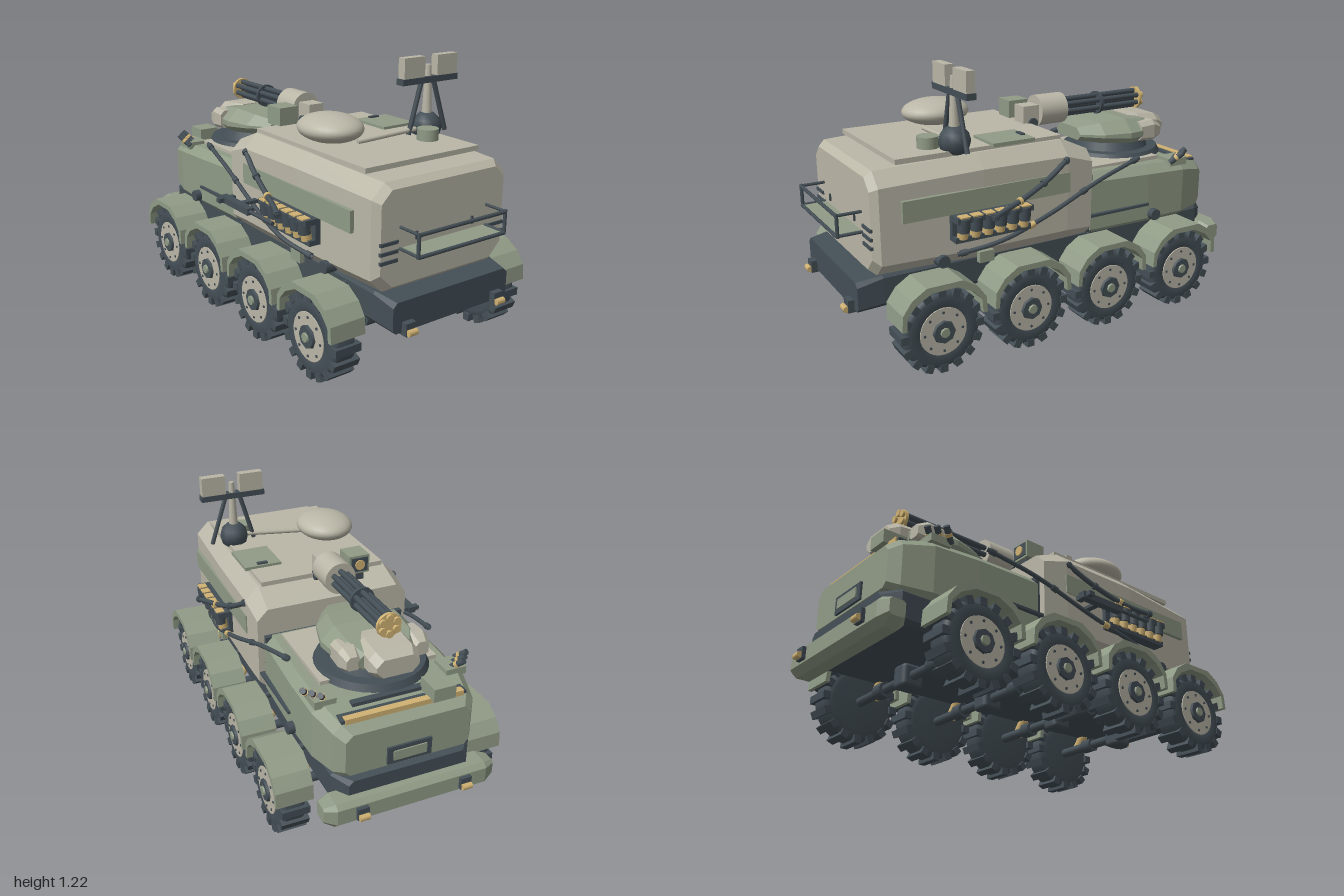
import * as THREE from 'three';
import { RoundedBoxGeometry } from 'three/addons/geometries/RoundedBoxGeometry.js';

const paint = (name, color) => Object.assign(new THREE.MeshStandardMaterial({ color }), { name });

export function createModel() {
  const root = new THREE.Group();
  root.name = 'armouredVehicle';
  const beige = paint('beige', 0xbab7a7), green = paint('sage green', 0x909b86);
  const dark = paint('blue grey', 0x444f56), gold = paint('gold', 0xd0b273);

  const add = (name, geo, mat, x = 0, y = 0, z = 0, parent = root) => {
    const m = new THREE.Mesh(geo, mat);
    m.name = name;
    m.position.set(x, y, z);
    parent.add(m);
    return m;
  };
  // Box given by its extents
  const box = (name, mat, x0, x1, y0, y1, z0, z1, parent) =>
    add(name, new THREE.BoxGeometry(x1 - x0, y1 - y0, z1 - z0), mat,
      (x0 + x1) / 2, (y0 + y1) / 2, (z0 + z1) / 2, parent);
  // Cylinder or cone between two points
  const rod = (name, mat, a, b, r, segs = 10, r2 = r, parent = root) => {
    const p = new THREE.Vector3(...a), q = new THREE.Vector3(...b), d = q.clone().sub(p);
    const m = add(name, new THREE.CylinderGeometry(r2, r, d.length(), segs), mat, 0, 0, 0, parent);
    m.position.copy(p).add(q).multiplyScalar(0.5);
    m.quaternion.setFromUnitVectors(new THREE.Vector3(0, 1, 0), d.normalize());
    return m;
  };
  // Octagonal sections [z, halfWidth, bottom, top, chamferBottom, chamferTop], z rising
  const loft = (sections) => {
    const rings = sections.map(([z, w, b, t, cb, ct]) => [
      [-w + cb, b, z], [w - cb, b, z], [w, b + cb, z], [w, t - ct, z],
      [w - ct, t, z], [-w + ct, t, z], [-w, t - ct, z], [-w, b + cb, z]]);
    const pos = [], tri = (...p) => p.forEach((v) => pos.push(...v));
    for (let i = 0; i < rings.length - 1; i++) {
      for (let j = 0; j < 8; j++) {
        const k = (j + 1) % 8, A = rings[i], B = rings[i + 1];
        tri(A[j], A[k], B[k]);
        tri(A[j], B[k], B[j]);
      }
    }
    const first = rings[0], last = rings[rings.length - 1];
    for (let j = 1; j < 7; j++) {
      tri(first[0], first[j + 1], first[j]);
      tri(last[0], last[j], last[j + 1]);
    }
    const g = new THREE.BufferGeometry();
    g.setAttribute('position', new THREE.Float32BufferAttribute(pos, 3));
    g.computeVertexNormals();
    return g;
  };
  // Hanging cable with gold clamps
  const cable = (name, points, r) => {
    const curve = new THREE.CatmullRomCurve3(points.map((p) => new THREE.Vector3(...p)));
    add(name, new THREE.TubeGeometry(curve, 30, r, 8), dark);
    for (const t of [0.03, 0.35, 0.65, 0.97]) {
      const a = curve.getPointAt(t - 0.015), b = curve.getPointAt(t + 0.015);
      rod(name + 'Clamp', t === 0.65 ? gold : dark, a.toArray(), b.toArray(), r * 1.45, 8);
    }
  };

  // Hull
  add('chassis', loft([[-0.91, 0.27, 0.3, 0.39, 0.02, 0.02], [-0.84, 0.32, 0.26, 0.4, 0.02, 0.01],
    [0.84, 0.32, 0.26, 0.4, 0.02, 0.01], [0.95, 0.31, 0.255, 0.385, 0.015, 0.02]]), dark);
  add('cabin', loft([[-0.155, 0.37, 0.4, 0.8, 0.04, 0.05], [-0.02, 0.378, 0.39, 0.857, 0.06, 0.065],
    [0.4, 0.375, 0.39, 0.857, 0.06, 0.06], [0.855, 0.35, 0.395, 0.84, 0.06, 0.06],
    [0.885, 0.325, 0.42, 0.815, 0.06, 0.05]]), beige);
  add('hood', loft([[-0.895, 0.28, 0.41, 0.6, 0.02, 0.03], [-0.85, 0.315, 0.395, 0.63, 0.02, 0.035],
    [-0.72, 0.35, 0.39, 0.66, 0.02, 0.04], [-0.5, 0.355, 0.39, 0.67, 0.02, 0.04],
    [-0.17, 0.345, 0.39, 0.68, 0.02, 0.04]]), green);
  box('hullSeam', dark, -0.34, 0.34, 0.4, 0.675, -0.18, -0.15);
  box('foreDeck', beige, -0.27, 0.27, 0.67, 0.688, -0.62, -0.19);
  box('roofPanel', beige, -0.305, 0.3, 0.852, 0.874, -0.03, 0.76);

  // Nose bumper and fittings
  const bumper = add('bumper', loft([[-0.39, 0.035, 0.24, 0.31, 0.01, 0.01],
    [-0.34, 0.06, 0.205, 0.325, 0.03, 0.02], [0.34, 0.06, 0.205, 0.325, 0.03, 0.02],
    [0.39, 0.035, 0.24, 0.31, 0.01, 0.01]]), green, 0, 0, -0.9);
  bumper.rotation.y = Math.PI / 2;
  box('grilleFrame', dark, -0.1, 0.1, 0.42, 0.5, -0.905, -0.89);
  box('grillePanel', green, -0.075, 0.075, 0.438, 0.482, -0.911, -0.9);
  box('lightBarHousing', dark, -0.28, 0.28, 0.62, 0.645, -0.85, -0.8);
  box('lightBar', gold, -0.265, 0.265, 0.628, 0.651, -0.856, -0.825);
  box('noseSensor', green, -0.21, -0.11, 0.645, 0.705, -0.88, -0.77);
  box('noseVent', dark, -0.12, 0.2, 0.645, 0.662, -0.78, -0.75);

  // Wheels: lathe tyre, tread lugs, rim and hub, facing +x
  const v2 = (a) => a.map((p) => new THREE.Vector2(...p));
  const tyreGeo = new THREE.LatheGeometry(v2([[0, -0.055], [0.13, -0.055], [0.165, -0.045], [0.172, -0.03],
    [0.172, 0.035], [0.165, 0.05], [0.15, 0.06], [0.105, 0.06], [0.103, 0.048], [0, 0.048]]), 32);
  const makeWheel = () => {
    const w = new THREE.Group();
    w.name = 'wheel';
    add('tyre', tyreGeo, dark, 0, 0, 0, w).rotation.z = -Math.PI / 2;
    for (let i = 0; i < 16; i++) {
      const a = (i / 16) * Math.PI * 2;
      const lug = box('treadLug', dark, -0.062, 0.062, -0.0175, 0.0175, -0.017, 0.017, w);
      lug.position.set(0, Math.cos(a) * 0.168, Math.sin(a) * 0.168);
      lug.rotation.x = a;
    }
    rod('rim', beige, [0.04, 0, 0], [0.063, 0, 0], 0.108, 28, 0.104, w);
    rod('hub', dark, [0.05, 0, 0], [0.075, 0, 0], 0.054, 8, 0.048, w);
    rod('hubCap', green, [0.07, 0, 0], [0.083, 0, 0], 0.024, 8, 0.02, w);
    for (let i = 0; i < 8; i++) {
      const a = (i / 8) * Math.PI * 2, y = Math.cos(a) * 0.085, z = Math.sin(a) * 0.085;
      rod('wheelBolt', dark, [0.06, y, z], [0.067, y, z], 0.006, 6, 0.006, w);
    }
    return w;
  };
  // Faceted mudguard arch
  const half = [[0.19, 0.24], [0.185, 0.31], [0.145, 0.365], [0.08, 0.405]];
  const inner = [[0.055, 0.38], [0.125, 0.345], [0.165, 0.3], [0.17, 0.24]];
  const flip = (a) => a.map(([x, y]) => [-x, y]).reverse();
  const guardGeo = new THREE.ExtrudeGeometry(
    new THREE.Shape(v2([...half, ...flip(half), ...flip(inner), ...inner])),
    { depth: 0.165, bevelEnabled: false }).rotateY(Math.PI / 2);

  for (const z of [0.665, 0.248, -0.17, -0.592]) {
    rod('axle', dark, [-0.39, 0.19, z], [0.39, 0.19, z], 0.022);
    add('differential', new RoundedBoxGeometry(0.088, 0.105, 0.1, 2, 0.02), dark, 0, 0.19, z);
    for (const s of [1, -1]) {
      const w = makeWheel();
      w.position.set(s * 0.443, 0.187, z);
      if (s < 0) w.rotation.y = Math.PI;
      root.add(w);
      add('mudguard', guardGeo, green, s > 0 ? 0.367 : -0.532, 0, z);
      rod('axleCollar', dark, [s * 0.17, 0.19, z], [s * 0.23, 0.19, z], 0.036, 8);
      rod('spring', gold, [s * 0.28, 0.27, z + 0.04], [s * 0.335, 0.2, z + 0.04], 0.024);
      rod('mudguardStay', dark, [s * 0.3, 0.375, z], [s * 0.4, 0.36, z], 0.015, 6);
    }
  }

  // Mirrored side equipment
  for (const s of [1, -1]) {
    const side = (name, mat, x0, x1, ...r) => box(name, mat, s > 0 ? x0 : -x1, s > 0 ? x1 : -x0, ...r);
    side('sidePanel', green, 0.365, 0.383, 0.63, 0.722, -0.03, 0.77);
    side('rackTop', dark, 0.37, 0.445, 0.605, 0.63, 0.2, 0.56);
    side('rackBase', dark, 0.37, 0.425, 0.517, 0.54, 0.2, 0.56);
    side('rackBack', dark, 0.37, 0.395, 0.54, 0.61, 0.2, 0.56);
    for (let i = 0; i < 6; i++) {
      const z = 0.235 + i * 0.058;
      rod('canister', gold, [s * 0.415, 0.535, z], [s * 0.425, 0.607, z], 0.023);
      rod('canisterCap', dark, [s * 0.425, 0.565, z], [s * 0.43, 0.625, z], 0.027);
      side('rackTopTrim', gold, 0.41, 0.45, 0.628, 0.634, z - 0.022, z + 0.022);
    }
    side('hoodRail', dark, 0.34, 0.366, 0.478, 0.49, -0.5, -0.08);
    side('doorSill', green, 0.36, 0.385, 0.39, 0.44, 0.36, 0.43);
    for (const z of [0.595, -0.53]) {
      rod('lashingPoint', dark, [s * 0.33, 0.43, z], [s * 0.385, 0.43, z], 0.028);
    }
    cable('upperCable', [[s * 0.375, 0.785, -0.02], [s * 0.4, 0.72, 0.09],
      [s * 0.43, 0.66, 0.24], [s * 0.455, 0.635, 0.34], [s * 0.485, 0.62, 0.42]], 0.012);
    cable('lowerCable', [[s * 0.335, 0.715, -0.45], [s * 0.37, 0.655, -0.2], [s * 0.4, 0.55, 0.1],
      [s * 0.415, 0.485, 0.34], [s * 0.39, 0.455, 0.54]], 0.01);
    // Smoke launchers on the nose shoulders
    for (let i = 0; i < 3; i++) {
      const x = 0.29 + i * 0.025, z = -0.73 + i * 0.03;
      rod('smokeLauncher', dark, [s * x, 0.665, z + 0.03], [s * (x + 0.035), 0.715, z - 0.02], 0.014, 8);
      rod('launcherBand', gold, [s * (x + 0.014), 0.685, z + 0.01], [s * (x + 0.02), 0.694, z], 0.016, 8);
    }
    side('launcherBase', green, 0.25, 0.345, 0.645, 0.68, -0.74, -0.64);
    // Tow hooks at both ends
    for (const e of [1, -1]) {
      const hx = s * (e > 0 ? 0.24 : 0.235);
      add('towMount', new THREE.BoxGeometry(0.05, 0.055, 0.04), dark, hx, 0.272, e * 0.957);
      rod('towHook', gold, [hx - 0.022, 0.262, e * 0.983], [hx + 0.022, 0.262, e * 0.983], 0.014, 8);
    }
    // Tail vents and shelf frame ends
    for (const y of [0.53, 0.567, 0.605]) side('tailVent', dark, 0.243, 0.33, y - 0.007, y + 0.007, 0.87, 0.892);
    for (const y of [0.572, 0.66]) rod('shelfArm', dark, [s * 0.23, y, 0.87], [s * 0.23, y, 0.993], 0.007, 6);
    rod('shelfPost', dark, [s * 0.23, 0.565, 0.99], [s * 0.23, 0.667, 0.99], 0.008, 6);
    side('tailLatch', dark, 0.145, 0.155, 0.595, 0.628, 0.88, 0.892);
  }
  box('tailShelf', green, -0.215, 0.215, 0.565, 0.575, 0.87, 0.99);
  for (const y of [0.57, 0.66]) rod('shelfRail', dark, [-0.23, y, 0.992], [0.23, y, 0.992], 0.008, 6);

  // Stowed long tool on one flank
  box('toolBody', dark, -0.5, -0.465, 0.56, 0.59, -0.04, 0.2);
  rod('toolShaft', dark, [-0.485, 0.575, 0.2], [-0.485, 0.575, 0.38], 0.009, 8);
  box('toolGrip', dark, -0.525, -0.44, 0.565, 0.585, -0.03, 0);
  box('toolBracket', dark, -0.47, -0.36, 0.565, 0.58, 0.06, 0.09);

  // Nose turret
  rod('turretRing', dark, [0, 0.675, -0.53], [0, 0.705, -0.53], 0.25, 32, 0.235);
  rod('turretPedestal', dark, [0, 0.7, -0.53], [0, 0.77, -0.53], 0.19, 24, 0.16);
  add('turretShell', loft([[-0.7, 0.13, 0.755, 0.825, 0.02, 0.03], [-0.62, 0.19, 0.745, 0.85, 0.03, 0.05],
    [-0.5, 0.205, 0.745, 0.862, 0.03, 0.06], [-0.37, 0.17, 0.755, 0.85, 0.03, 0.05],
    [-0.27, 0.1, 0.77, 0.83, 0.02, 0.03]]), green, 0.01);
  add('turretMantlet', loft([[-0.785, 0.095, 0.75, 0.83, 0.03, 0.03], [-0.74, 0.11, 0.735, 0.85, 0.03, 0.03],
    [-0.63, 0.11, 0.74, 0.86, 0.03, 0.03], [-0.58, 0.08, 0.77, 0.858, 0.02, 0.02]]), beige, 0.005);
  for (const x of [-0.15, 0.16]) {
    add('turretCheek', loft([[-0.7, 0.03, 0.76, 0.82, 0.01, 0.015], [-0.65, 0.045, 0.745, 0.845, 0.015, 0.02],
      [-0.57, 0.045, 0.75, 0.84, 0.015, 0.02]]), beige, x);
  }

  // Rotary gun on the cabin roof
  const gunY = 0.922;
  rod('gunHousing', beige, [0, gunY, -0.08], [0, gunY, -0.225], 0.073, 24);
  box('gunCradle', beige, -0.04, 0.04, 0.865, 0.955, -0.085, 0.005);
  rod('gunPivot', dark, [-0.05, 0.872, -0.045], [0.05, 0.872, -0.045], 0.025, 12);
  rod('gunSpindle', dark, [0, gunY, -0.22], [0, gunY, -0.67], 0.014);
  for (let i = 0; i < 6; i++) {
    const a = (i / 6) * Math.PI * 2, x = Math.sin(a) * 0.036, y = gunY + Math.cos(a) * 0.036;
    rod('gunBarrel', dark, [x, y, -0.22], [x, y, -0.69], 0.013);
    rod('gunMuzzle', gold, [x, y, -0.675], [x, y, -0.698], 0.0165);
  }
  rod('barrelClamp', dark, [0, gunY, -0.432], [0, gunY, -0.447], 0.056, 20);
  rod('muzzleClamp', gold, [0, gunY, -0.672], [0, gunY, -0.686], 0.054, 20);

  // Roof sensor, hatch and dome
  box('roofSensor', green, -0.2, -0.1, 0.87, 0.957, -0.105, 0);
  box('sensorFace', dark, -0.19, -0.11, 0.88, 0.947, -0.11, -0.1);
  rod('sensorLens', gold, [-0.15, 0.914, -0.105], [-0.15, 0.914, -0.116], 0.024, 16);
  box('sensorFoot', dark, -0.18, -0.12, 0.83, 0.872, -0.09, -0.01);
  box('roofHatch', green, 0.147, 0.325, 0.87, 0.886, 0.12, 0.325);
  box('hatchHandle', dark, 0.21, 0.26, 0.885, 0.893, 0.13, 0.15);
  add('radarDome', new THREE.SphereGeometry(1, 32, 20), beige, -0.175, 0.938, 0.355).scale.set(0.135, 0.062, 0.16);
  rod('domeArm', beige, [-0.1, 0.882, 0.45], [0.24, 0.905, 0.48], 0.011);
  rod('roofCanister', green, [0.19, 0.87, 0.565], [0.19, 0.924, 0.565], 0.047, 20);

  // Antenna mast
  const mx = 0.262, mz = 0.475;
  add('mastBall', new THREE.SphereGeometry(0.07, 10, 6), dark, mx, 0.905, mz);
  rod('mast', beige, [mx, 0.95, mz], [mx, 1.18, mz], 0.023, 12, 0.013);
  box('antennaBar', dark, 0.103, 0.418, 1.103, 1.13, mz - 0.022, mz + 0.022);
  box('antennaPanel', beige, 0.11, 0.226, 1.125, 1.22, mz - 0.02, mz + 0.02);
  box('antennaPanel', beige, 0.298, 0.414, 1.125, 1.22, mz - 0.02, mz + 0.02);
  rod('mastStrut', dark, [0.225, 1.11, mz], [0.16, 0.88, mz], 0.011, 8);
  rod('mastStrut', dark, [0.295, 1.11, mz], [0.375, 0.875, mz], 0.011, 8);

  return root;
}
